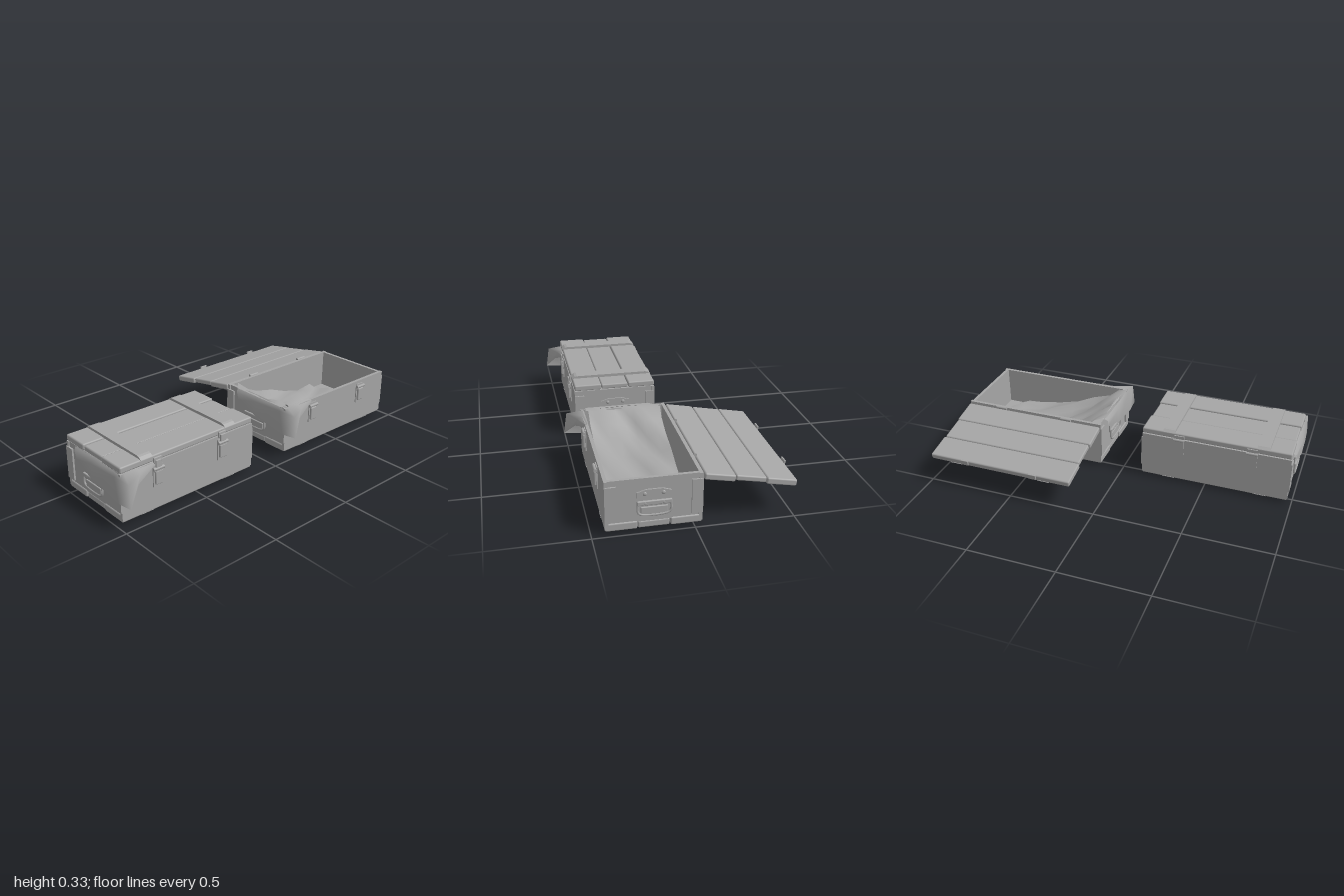
import * as THREE from 'three';
import { RoundedBoxGeometry } from 'three/addons/geometries/RoundedBoxGeometry.js';

const paint = new THREE.MeshStandardMaterial({ color: 0xa6a6a6 });
paint.name = 'greyPaint';
const clothGrey = new THREE.MeshStandardMaterial({ color: 0xa6a6a6, side: THREE.DoubleSide });
clothGrey.name = 'greyCloth';

const HALF = 0.424, BACK = -0.04, FRONT = 0.435, RIM = 0.28;

function add(parent, name, geometry, x = 0, y = 0, z = 0, material = paint) {
  const mesh = new THREE.Mesh(geometry, material);
  mesh.name = name;
  mesh.position.set(x, y, z);
  parent.add(mesh);
  return mesh;
}

// Box given by its limits; a bevel rounds the edges
function block(parent, name, x0, x1, y0, y1, z0, z1, bevel = 0) {
  const s = [x1 - x0, y1 - y0, z1 - z0];
  const g = bevel ? new RoundedBoxGeometry(...s, 1, bevel) : new THREE.BoxGeometry(...s);
  return add(parent, name, g, (x0 + x1) / 2, (y0 + y1) / 2, (z0 + z1) / 2);
}

// Strip with slanted ends, running along z
function batten(parent, name, x, y, z0, z1, height, direction) {
  const s = new THREE.Shape();
  s.moveTo(z0, 0);
  s.lineTo(z1, 0);
  s.lineTo(z1 - 0.016, height * 0.75);
  s.lineTo(z1 - 0.03, height);
  s.lineTo(z0 + 0.03, height);
  s.lineTo(z0 + 0.016, height * 0.75);
  const g = new THREE.ExtrudeGeometry(s, { depth: 0.07, bevelEnabled: false });
  g.translate(0, 0, -0.035).rotateY(-Math.PI / 2);
  if (direction < 0) g.rotateZ(Math.PI);
  add(parent, name, g, x, y, 0);
}

// Board with a chamfered outer edge
function planks(parent, name, y0, y1, z0) {
  const cuts = [0, 0.158, 0.316, 0.475];
  for (let i = 0; i < 3; i++) {
    const inset = i === 1 ? 0.005 : 0;
    block(parent, name, -HALF + inset, HALF - inset, y0, y1 - inset, z0 + cuts[i] + 0.001, z0 + cuts[i + 1] - 0.001, 0.008);
  }
}

// Carrying handle: pointed mounting plate, screws and a drop loop
function handle(parent, side) {
  const group = new THREE.Group();
  group.name = 'handle';
  const s = new THREE.Shape();
  [[-0.085, 0.145], [0.085, 0.145], [0.085, 0.208], [0.04, 0.222], [-0.04, 0.222], [-0.085, 0.208]]
    .forEach(([x, y], i) => (i ? s.lineTo(x, y) : s.moveTo(x, y)));
  add(group, 'handlePlate', new THREE.ExtrudeGeometry(s, { depth: 0.008, bevelEnabled: false }));
  block(group, 'handleHinge', -0.085, 0.085, 0.142, 0.166, 0.004, 0.018, 0.005);
  for (const x of [-0.045, 0.045]) for (const y of [0.153, 0.2]) {
    const screw = add(group, 'screw', new THREE.SphereGeometry(0.011, 10, 6), x, y, y > 0.17 ? 0.007 : 0.014);
    screw.scale.z = 0.5;
  }
  const path = new THREE.CatmullRomCurve3([
    [-0.08, 0.155], [-0.08, 0.108], [-0.066, 0.094], [0.066, 0.094], [0.08, 0.108], [0.08, 0.155],
  ].map(([x, y]) => new THREE.Vector3(x, y, 0.012)), false, 'centripetal');
  add(group, 'handleLoop', new THREE.TubeGeometry(path, 30, 0.006, 6));
  block(group, 'handleGrip', -0.066, 0.066, 0.09, 0.132, 0.003, 0.013, 0.004);
  group.position.set(side * (HALF - 0.006), 0, 0.197);
  group.rotation.y = side * Math.PI / 2;
  parent.add(group);
}

// Lower half of a toggle latch
function latch(parent, x) {
  block(parent, 'latchPlate', x - 0.029, x + 0.029, 0.145, 0.262, FRONT, FRONT + 0.006);
  block(parent, 'latchLever', x - 0.022, x + 0.022, 0.16, 0.235, FRONT + 0.004, FRONT + 0.018, 0.005);
  const pin = add(parent, 'latchPin', new THREE.CylinderGeometry(0.009, 0.009, 0.064, 10), x, 0.247, FRONT + 0.012);
  pin.rotation.z = Math.PI / 2;
}

// Lid, with the hinge line at its own origin
function makeLid(closed) {
  const lid = new THREE.Group();
  lid.name = 'lid';
  planks(lid, 'lidPlank', 0.003, 0.037, 0);
  for (const x of [-0.268, 0.268]) batten(lid, 'lidBatten', x, 0.035, 0, 0.475, 0.016, 1);
  for (const x of [-0.208, 0.208]) {
    block(lid, 'latchHook', x - 0.024, x + 0.024, -0.006, 0.026, 0.474, 0.484, 0.003);
    if (closed) block(lid, 'latchStrap', x - 0.017, x + 0.017, -0.05, 0.014, 0.482, 0.492, 0.003);
    block(lid, 'hingeLeaf', x - 0.03, x + 0.03, 0, 0.026, -0.006, 0.001);
  }
  return lid;
}

function makeCrate(open) {
  const crate = new THREE.Group();
  crate.name = open ? 'openCrate' : 'closedCrate';
  // Base
  planks(crate, 'basePlank', 0.014, 0.056, BACK);
  for (const x of [-0.268, 0.268]) batten(crate, 'baseBatten', x, 0.018, BACK, FRONT, 0.018, -1);
  // Walls
  block(crate, 'frontWall', -HALF, HALF, 0.026, RIM, FRONT - 0.018, FRONT);
  block(crate, 'backWall', -HALF, HALF, 0.026, RIM, BACK, BACK + 0.018);
  for (const side of [-1, 1]) {
    const x = side * (HALF - 0.015);
    block(crate, 'endWall', x - 0.009, x + 0.009, 0.05, RIM, BACK + 0.01, FRONT - 0.01);
    for (const [z0, z1] of [[BACK, BACK + 0.055], [FRONT - 0.055, FRONT]]) {
      const e = side * (HALF + 0.001);
      block(crate, 'cornerPost', e - 0.005, e + 0.005, 0.07, 0.252, z0, z1);
    }
    handle(crate, side);
  }
  // Latches and hinges
  for (const x of [-0.208, 0.208]) {
    latch(crate, x);
    block(crate, 'hingePlate', x - 0.03, x + 0.03, 0.19, 0.272, BACK - 0.007, BACK);
    const pin = add(crate, 'hingePin', new THREE.CylinderGeometry(0.008, 0.008, 0.064, 10), x, RIM, BACK - 0.008);
    pin.rotation.z = Math.PI / 2;
  }
  const lid = makeLid(!open);
  lid.position.set(0, RIM, BACK);
  if (open) {
    lid.position.set(0, 0.277, BACK - 0.01);
    lid.rotation.x = Math.PI - 0.187;
  }
  crate.add(lid);
  return crate;
}

// Cloth surface through rows of points
function cloth(parent, name, rows) {
  const n = rows[0].length, pos = [], index = [];
  rows.forEach((row, r) => row.forEach((p, c) => {
    pos.push(...p);
    if (r && c) {
      const d = r * n + c, a = d - n - 1;
      index.push(a, d - 1, a + 1, a + 1, d - 1, d);
    }
  }));
  const g = new THREE.BufferGeometry();
  g.setAttribute('position', new THREE.Float32BufferAttribute(pos, 3));
  g.setIndex(index);
  g.computeVertexNormals();
  add(parent, name, g, 0, 0, 0, clothGrey);
}

// Flap hanging over the corner: rim, shoulder and hem
function clothFlap(parent) {
  cloth(parent, 'clothFlap', [
    [[-0.41, 0.284, 0.03], [-0.41, 0.286, 0.2], [-0.41, 0.284, 0.36], [-0.4, 0.285, 0.425], [-0.32, 0.284, 0.425], [-0.22, 0.283, 0.42]],
    [[-0.435, 0.262, 0.05], [-0.446, 0.26, 0.22], [-0.436, 0.262, 0.4], [-0.43, 0.262, 0.512], [-0.33, 0.266, 0.465], [-0.22, 0.28, 0.438]],
    [[-0.432, 0.215, 0.06], [-0.447, 0.17, 0.22], [-0.44, 0.13, 0.43], [-0.436, 0.14, 0.53], [-0.35, 0.22, 0.475], [-0.22, 0.268, 0.44]],
  ]);
}

// Crumpled lining that falls from the end rim to the floor
function clothLining(parent) {
  const xs = [-0.43, -0.38, -0.31, -0.22, -0.1, 0.03, 0.15, 0.25, 0.32];
  const ys = [0.288, 0.268, 0.215, 0.16, 0.12, 0.1, 0.085, 0.09, 0.075];
  const rows = xs.map((x, i) => {
    const row = [];
    for (let j = 0; j <= 8; j++) {
      const t = j / 8, fold = Math.sin(i * 2.1 + j * 1.7) * 0.012 * Math.min(1, i / 2);
      const edge = i && i < 6 ? Math.abs(t - 0.5) * 0.06 : 0;
      row.push([x + fold, Math.min(0.285, ys[i] + fold + edge), (i ? -0.005 : 0.05) + t * (i ? 0.4 : 0.36)]);
    }
    return row;
  });
  cloth(parent, 'clothLining', rows);
}

export function createModel() {
  const model = new THREE.Group();
  model.name = 'crates';
  const closed = makeCrate(false), open = makeCrate(true);
  closed.position.x = -0.55;
  open.position.x = 0.555;
  clothFlap(closed);
  clothFlap(open);
  clothLining(open);
  model.add(closed, open);
  return model;
}
